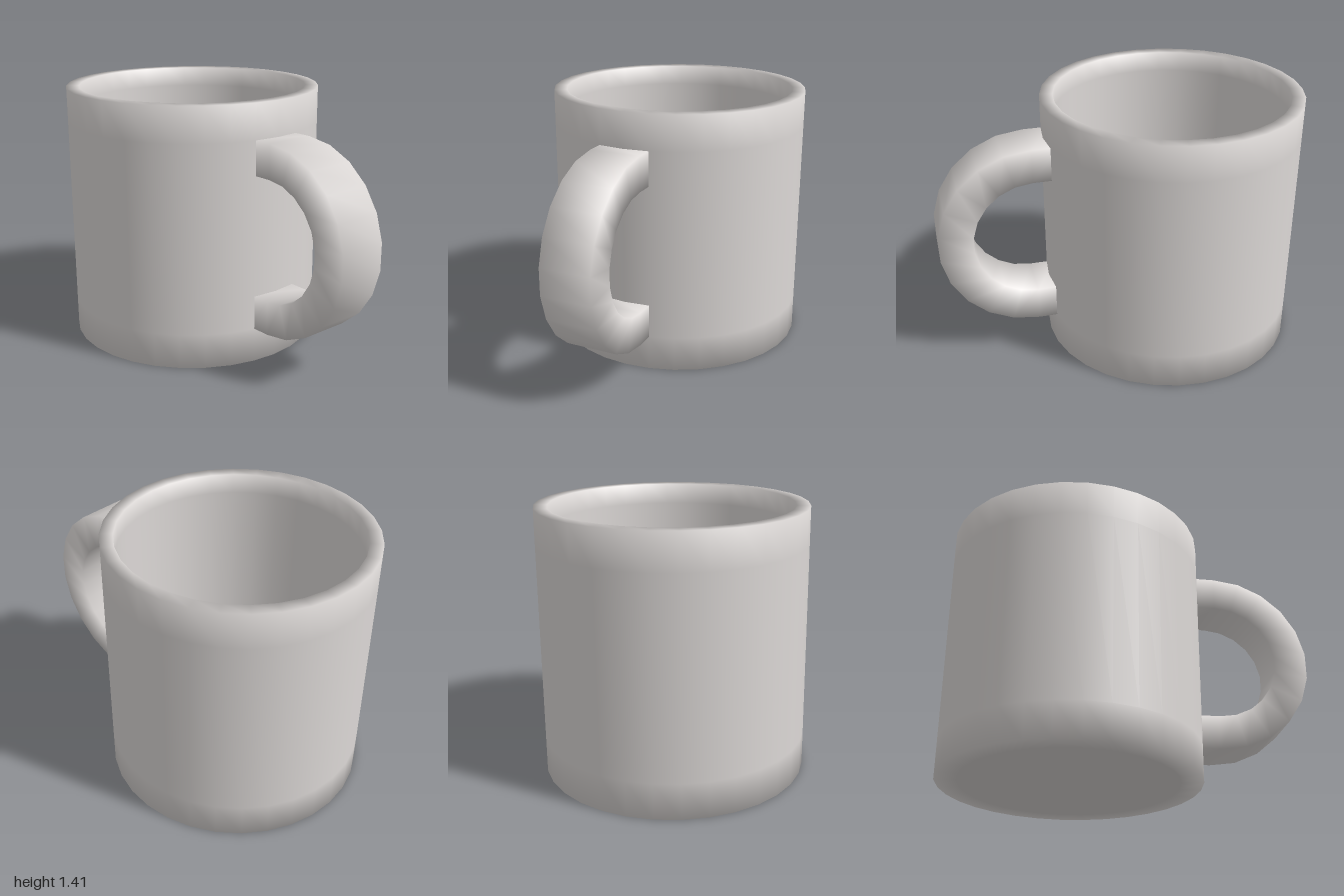
import * as THREE from 'three';

const CENTRE_X = -0.3;

// Turned vessel: underside, outer wall, rim, inner wall and floor in one profile.
// The extra rings near each edge keep the soft shading close to the edge.
function cupGeometry() {
  const profile = [
    [0, 0], [0.58, 0], [0.7, 0], [0.7, 0.19], [0.7, 1.22], [0.7, 1.41],
    [0.63, 1.41], [0.63, 1.3], [0.63, 0.2], [0.63, 0.07], [0.52, 0.07], [0, 0.07],
  ].map(([r, y]) => new THREE.Vector2(r, y));
  return new THREE.LatheGeometry(profile, 32);
}

// Rectangular section swept along a half ring, with short straight ends into the wall.
function handleGeometry() {
  const cx = 0.485, cy = 0.705, inner = 0.33, outer = 0.515, half = 0.138, steps = 11;
  const rings = [{ x: 0.35, a: Math.PI / 2 }];
  for (let i = 0; i <= steps; i++) rings.push({ x: cx, a: Math.PI / 2 - (i / steps) * Math.PI });
  rings.push({ x: 0.35, a: -Math.PI / 2 });

  const positions = [], index = [];
  const section = [[inner, -half], [outer, -half], [outer, half], [inner, half]];
  rings.forEach(({ x, a }, i) => {
    for (const [r, z] of section) positions.push(x + r * Math.cos(a), cy + r * Math.sin(a), z);
    if (i === 0) return;
    for (let k = 0; k < 4; k++) {
      const p = (i - 1) * 4 + k, q = (i - 1) * 4 + ((k + 1) % 4);
      index.push(p, q, p + 4, q, q + 4, p + 4);
    }
  });
  const geometry = new THREE.BufferGeometry();
  geometry.setAttribute('position', new THREE.Float32BufferAttribute(positions, 3));
  geometry.setIndex(index);
  geometry.computeVertexNormals();
  // Make sure the faces point away from the ring: the first side is at -z.
  if (geometry.attributes.normal.getZ(4) > 0) {
    geometry.setIndex(index.reverse());
    geometry.computeVertexNormals();
  }
  return geometry;
}

export function createModel() {
  const ceramic = new THREE.MeshStandardMaterial({ color: 0xdcd8d6 });
  ceramic.name = 'ceramic';

  const group = new THREE.Group();
  group.name = 'mug';

  const cup = new THREE.Mesh(cupGeometry(), ceramic);
  cup.name = 'cup';
  cup.position.x = CENTRE_X;

  const handle = new THREE.Mesh(handleGeometry(), ceramic);
  handle.name = 'handle';

  group.add(cup, handle);
  return group;
}
